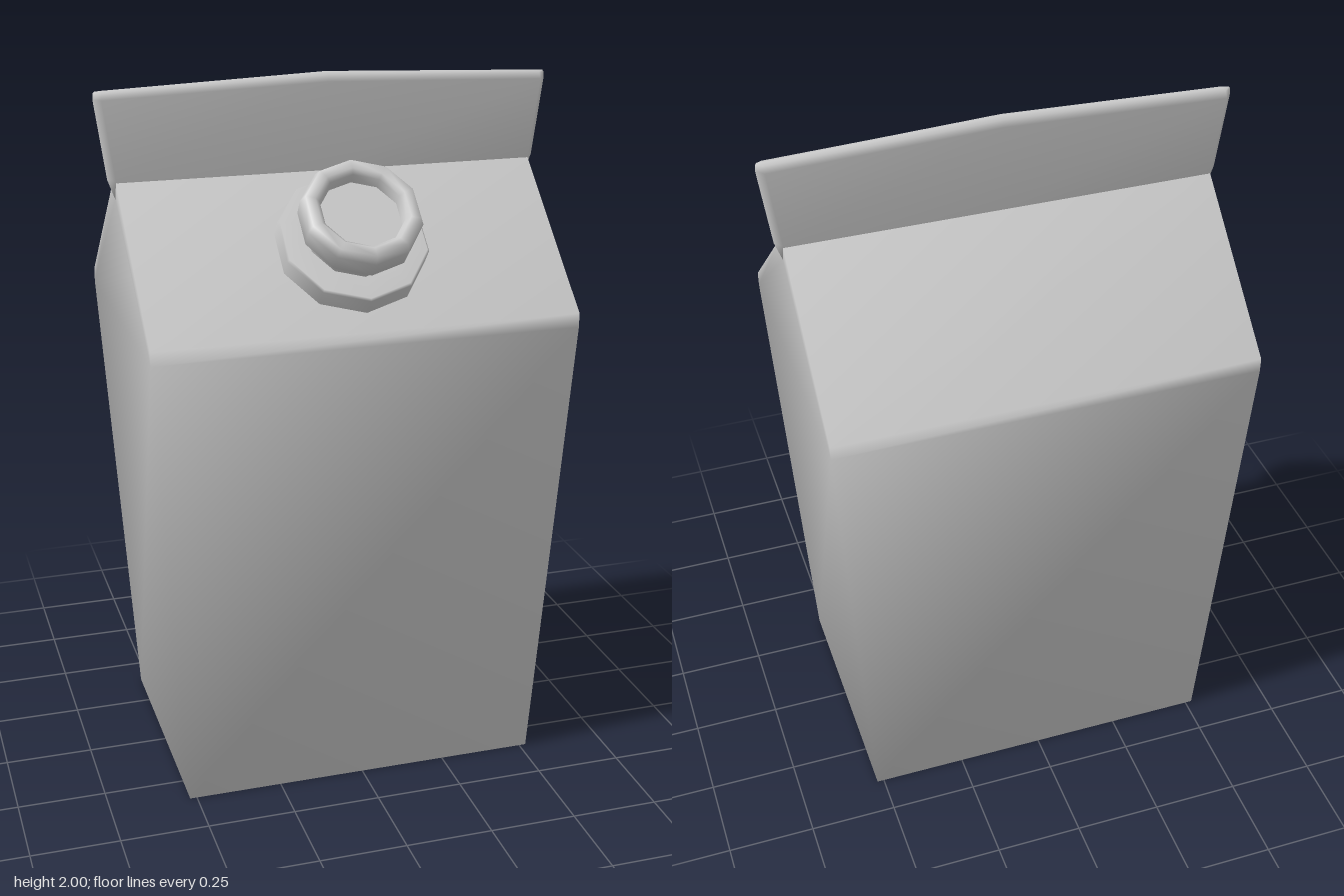
import * as THREE from 'three';

const grey = new THREE.MeshStandardMaterial({ color: 0xcccccc });
grey.name = 'carton grey';

// Indexed mesh with shared corners, so the shading stays soft
function softMesh(name, points, faces) {
  const index = [];
  for (const f of faces) {
    for (let i = 1; i < f.length - 1; i++) index.push(f[0], f[i], f[i + 1]);
  }
  const geometry = new THREE.BufferGeometry();
  geometry.setAttribute('position', new THREE.Float32BufferAttribute(points.flat(), 3));
  geometry.setIndex(index);
  geometry.computeVertexNormals();
  const mesh = new THREE.Mesh(geometry, grey);
  mesh.name = name;
  return mesh;
}

// Tapered box with a gable roof and ends folded inward
function makeBody() {
  const corners = {
    base: [0.52, 0, 0.368],
    shoulder: [0.6, 1.335, 0.425],
    eave: [0.6, 1.375, 0.425],
    ridge: [0.6, 1.73, 0.022],
    ridgeUnder: [0.6, 1.68, 0],
    fold: [0.55, 1.46, 0],
  };
  const points = [], faces = [], lookup = {};
  const v = (name, sx, sz) => {
    const [x, y, z] = corners[name];
    const key = name + sx + (z ? sz : 0);
    if (!(key in lookup)) {
      lookup[key] = points.length;
      points.push([x * sx, y, z * sz]);
    }
    return lookup[key];
  };
  const add = (flip, ...f) => faces.push(flip ? f.reverse() : f);

  for (const s of [1, -1]) {
    // front and back: wall, eave strip, roof slope
    for (const [lo, hi] of [['base', 'shoulder'], ['shoulder', 'eave'], ['eave', 'ridge']]) {
      add(s < 0, v(lo, -1, s), v(lo, 1, s), v(hi, 1, s), v(hi, -1, s));
    }
    // side wall and the lower panel of the folded gable
    add(s < 0, v('base', s, 1), v('base', s, -1), v('shoulder', s, -1), v('shoulder', s, 1));
    add(s < 0, v('shoulder', s, 1), v('shoulder', s, -1), v('fold', s, 1));
    add(s < 0, v('ridge', s, 1), v('ridgeUnder', s, 1), v('ridge', s, -1));
    // tucked gussets and the edge of the roof sheet
    for (const z of [1, -1]) {
      const flip = s * z < 0;
      add(flip, v('shoulder', s, z), v('fold', s, z), v('ridgeUnder', s, z));
      add(flip, v('shoulder', s, z), v('ridgeUnder', s, z), v('ridge', s, z), v('eave', s, z));
    }
  }
  add(false, v('base', -1, 1), v('base', -1, -1), v('base', 1, -1), v('base', 1, 1));
  add(false, v('ridge', -1, 1), v('ridge', 1, 1), v('ridge', 1, -1), v('ridge', -1, -1));
  return softMesh('cartonBody', points, faces);
}

// Upright sealed fin, lofted from thin pointed sections with a slight arch on top
function makeFin() {
  const levels = [ // height, half width, half thickness, arch
    [1.68, 0.6, 0.012, 0],
    [1.735, 0.62, 0.024, 0],
    [1.975, 0.65, 0.024, 0.022],
    [1.992, 0.649, 0.015, 0.022],
    [2.0, 0.645, 0.004, 0.025],
  ];
  const points = [], faces = [];
  levels.forEach(([y, w, t, arch], k) => {
    const b = w - 0.02;
    const ring = [[-b, t], [0, t], [b, t], [w, 0], [b, -t], [0, -t], [-b, -t], [-w, 0]];
    ring.forEach(([x, z], i) => {
      points.push([x, y - arch * Math.abs(x) / w, z]);
      const a = k * 8 + i, n = k * 8 + (i + 1) % 8;
      if (k < levels.length - 1) faces.push([a, n, n + 8, a + 8]);
    });
  });
  const top = (levels.length - 1) * 8;
  for (const f of [[0, 1, 5, 6], [1, 2, 4, 5], [2, 3, 4], [6, 7, 0]]) faces.push(f.map(i => i + top));
  faces.push([7, 6, 5, 4, 3, 2, 1, 0]);
  return softMesh('sealedFin', points, faces);
}

function lathe(name, profile) {
  const outline = profile.map(([r, y]) => new THREE.Vector2(r, y));
  const mesh = new THREE.Mesh(new THREE.LatheGeometry(outline, 10), grey);
  mesh.name = name;
  return mesh;
}

// Ten-sided pouring spout standing square to the front roof
function makeSpout() {
  const spout = new THREE.Group();
  spout.name = 'spout';
  spout.add(
    lathe('spoutCollar', [[0.21, -0.01], [0.21, 0.056], [0.204, 0.062], [0.13, 0.062]]),
    lathe('spoutNeckAndRim', [
      [0.135, 0.05], [0.135, 0.085], [0.165, 0.112], [0.168, 0.165],
      [0.157, 0.19], [0.13, 0.19], [0.117, 0.178], [0.114, 0.145],
    ]),
    lathe('spoutFloor', [[0.118, 0.147], [0, 0.147]]),
  );
  spout.position.set(0, 1.552, 0.2);
  spout.rotation.x = 0.713;
  return spout;
}

export function createModel() {
  const model = new THREE.Group();
  model.name = 'carton';
  const body = makeBody(), fin = makeFin();
  body.position.z = fin.position.z = -0.02;
  model.add(body, fin, makeSpout());
  return model;
}
